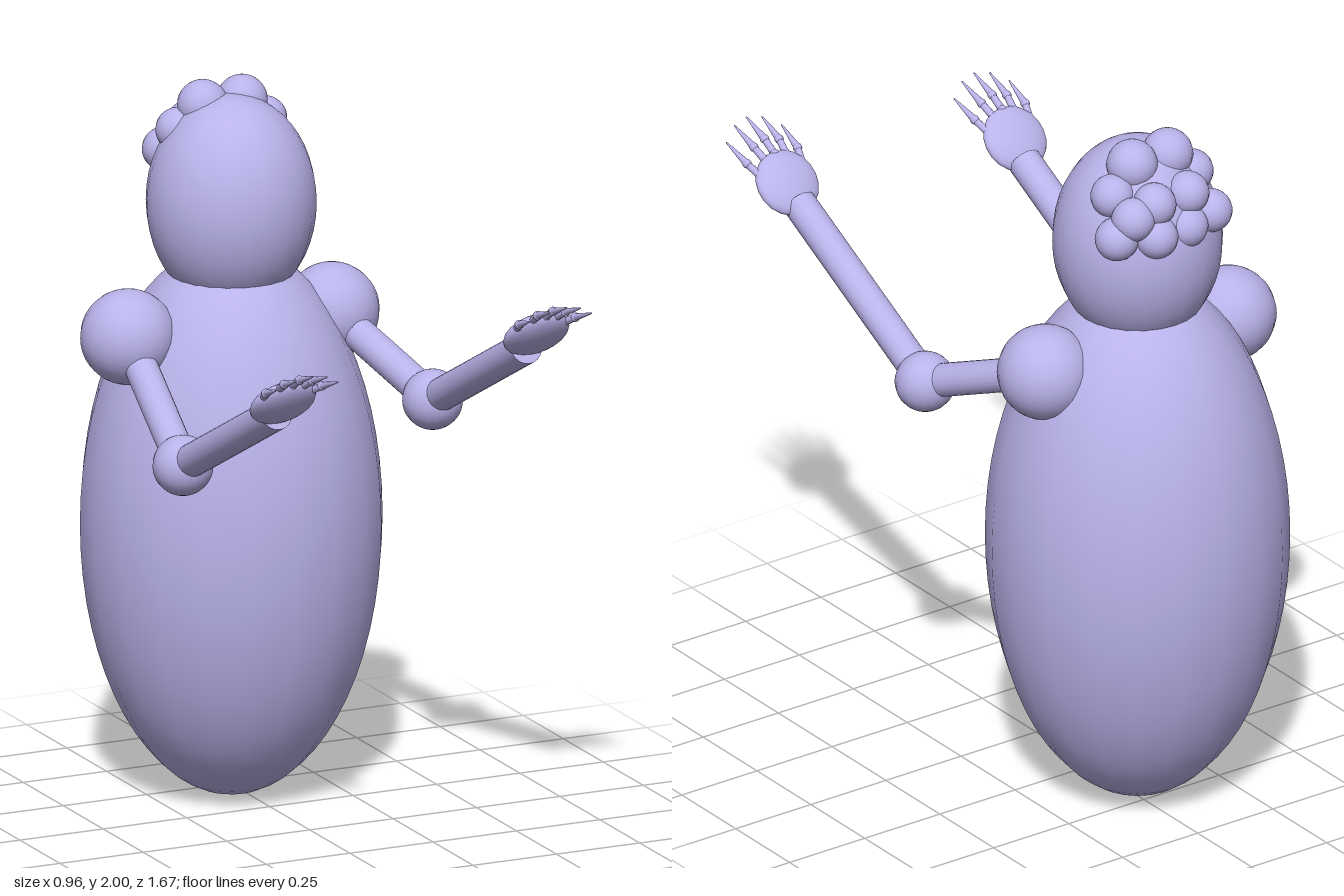
import * as THREE from 'three';

const skin = new THREE.MeshStandardMaterial({ color: 0xb9b3ea });
const V = (x, y, z) => new THREE.Vector3(x, y, z);

function add(parent, name, geometry, position) {
  const mesh = new THREE.Mesh(geometry, skin);
  mesh.name = name;
  mesh.position.copy(position);
  parent.add(mesh);
  return mesh;
}

// Ellipsoid with radii r (Vector3) or a plain ball (number)
function ball(parent, name, position, r, w = 20, h = 20) {
  const mesh = add(parent, name, new THREE.SphereGeometry(1, w, h), position);
  if (r.isVector3) mesh.scale.copy(r);
  else mesh.scale.setScalar(r);
  return mesh;
}

// Straight tapered rod from a to b
function rod(parent, name, a, b, ra, rb = ra, sides = 20) {
  const dir = b.clone().sub(a);
  const mesh = add(parent, name, new THREE.CylinderGeometry(rb, ra, dir.length(), sides),
    a.clone().lerp(b, 0.5));
  mesh.quaternion.setFromUnitVectors(V(0, 1, 0), dir.normalize());
  return mesh;
}

// Palm with five jointed, pointed fingers
function makeHand(name, position) {
  const hand = new THREE.Group();
  hand.name = name;
  hand.position.copy(position);
  const palm = ball(hand, 'palm', V(0, 0, 0), V(0.094, 0.034, 0.094));
  palm.rotation.x = -0.82;
  for (let i = -2; i <= 2; i++) {
    const drop = 0.009 * i * i;
    const base = V(i * 0.034, 0.063 - drop, 0.058 - drop);
    const knuckle = V(i * 0.042, 0.09 - drop, 0.105 - drop);
    const tip = V(i * 0.046, 0.122 - drop, 0.19 - drop);
    const finger = new THREE.Group();
    finger.name = 'finger';
    ball(finger, 'fingerBase', base, 0.014, 10, 8);
    rod(finger, 'fingerBone', base, knuckle, 0.011, 0.01, 10);
    ball(finger, 'knuckle', knuckle, 0.013, 10, 8);
    rod(finger, 'fingerTip', knuckle, tip, 0.011, 0.002, 10);
    hand.add(finger);
  }
  return hand;
}

// Shoulder, elbow, limbs and hand
function makeArm(name, shoulder, elbow, palm) {
  const arm = new THREE.Group();
  arm.name = name;
  const wrist = V(elbow.x, elbow.y + 0.3, elbow.z + 0.585);
  ball(arm, 'shoulder', shoulder, 0.131);
  rod(arm, 'upperArm', shoulder, elbow, 0.046);
  ball(arm, 'elbow', elbow, 0.083);
  rod(arm, 'forearm', elbow, wrist, 0.046);
  arm.add(makeHand('hand', palm));
  return arm;
}

export function createModel() {
  const model = new THREE.Group();
  model.name = 'figure';

  ball(model, 'body', V(-0.03, 0.774, -0.429), V(0.413, 0.77, 0.413), 20, 32);
  ball(model, 'head', V(-0.03, 1.668, -0.429), V(0.232, 0.297, 0.232), 24, 24);

  // Cluster of curls on the back of the crown
  const hair = new THREE.Group();
  hair.name = 'hair';
  const curls = [
    [-0.088, 1.93, -0.487], [0.03, 1.93, -0.487],
    [0.108, 1.865, -0.505], [-0.155, 1.865, -0.505],
    [0.14, 1.77, -0.57], [-0.15, 1.785, -0.6],
    [0.04, 1.765, -0.613], [-0.06, 1.77, -0.613],
    [-0.08, 1.855, -0.59], [0.03, 1.85, -0.59], [0.1, 1.825, -0.59],
  ];
  curls.forEach(([x, y, z], i) => ball(hair, 'curl', V(x, y, z), i < 2 ? 0.07 : 0.06));
  model.add(hair);

  model.add(makeArm('leftArm', V(0.257, 1.333, -0.4), V(0.367, 1.172, 0.003), V(0.377, 1.52, 0.63)));
  model.add(makeArm('rightArm', V(-0.353, 1.333, -0.4), V(-0.382, 1.08, 0.003), V(-0.388, 1.425, 0.64)));
  return model;
}
